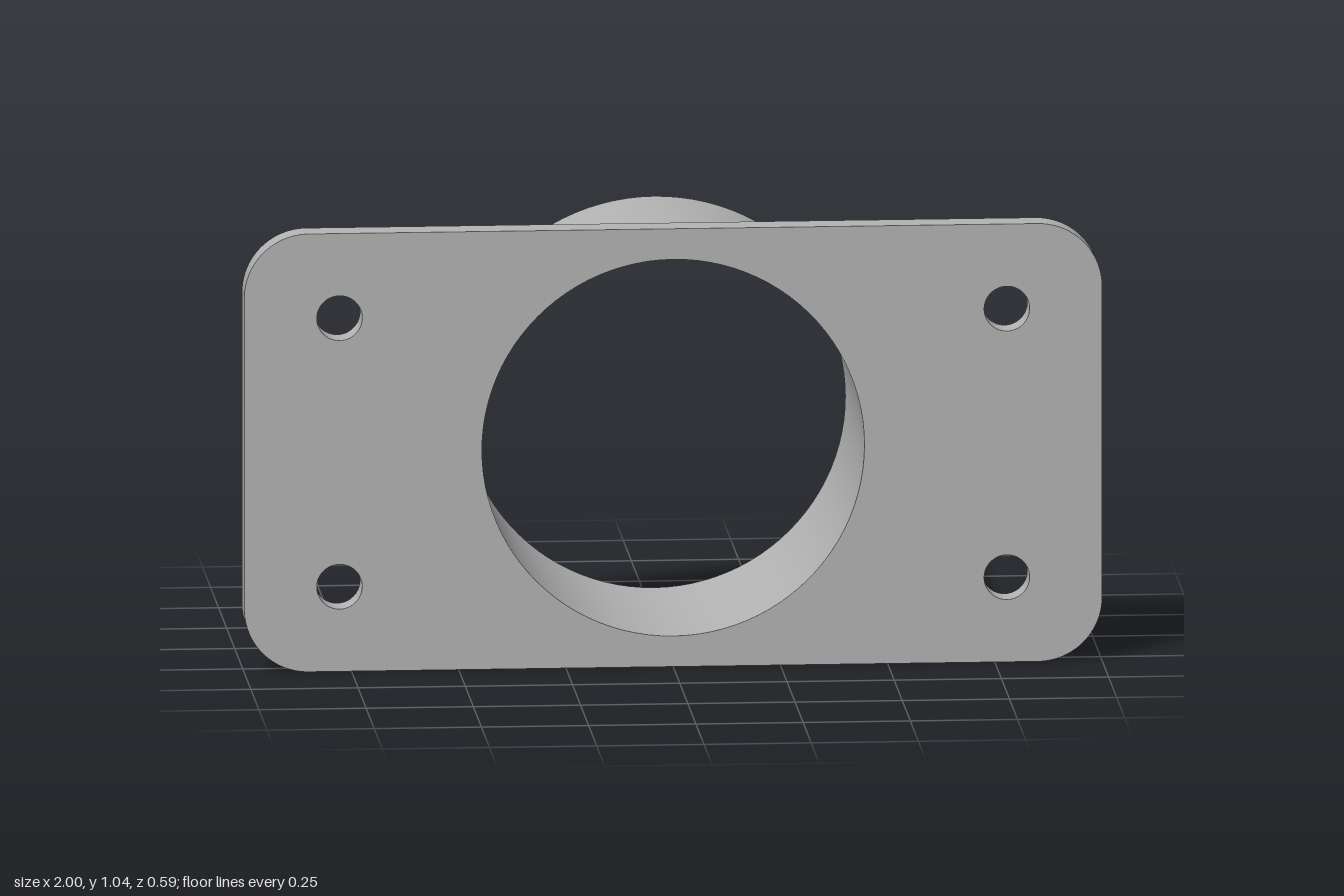
import * as THREE from 'three';
import { toCreasedNormals } from 'three/addons/utils/BufferGeometryUtils.js';

const W = 2, H = 1.037, CORNER = 0.15;
const FRONT = 0.297, PLATE_BACK = 0.223, TUBE_BACK = -0.297;
const BORE = 0.446, OUTER = 0.481;
const BOLT_X = 0.778, BOLT_Y = 0.318, BOLT_R = 0.053;

function circle(x, y, r) {
  return new THREE.Path().absarc(x, y, r, 0, Math.PI * 2, true);
}

export function createModel() {
  const model = new THREE.Group();
  model.name = 'flangedSleeve';
  const grey = new THREE.MeshStandardMaterial({ color: 0xb4b4b4 });
  grey.name = 'grey';

  // Rounded rectangular plate with the central bore and four bolt holes
  const shape = new THREE.Shape();
  const cx = W / 2 - CORNER, cy = H / 2 - CORNER;
  [[cx, cy], [-cx, cy], [-cx, -cy], [cx, -cy]].forEach(([x, y], i) =>
    shape.absarc(x, y, CORNER, i * Math.PI / 2, (i + 1) * Math.PI / 2, false));
  shape.closePath();
  shape.holes.push(circle(0, 0, BORE));
  for (const sx of [-1, 1])
    for (const sy of [-1, 1]) shape.holes.push(circle(sx * BOLT_X, sy * BOLT_Y, BOLT_R));
  const plateGeometry = new THREE.ExtrudeGeometry(shape, {
    depth: FRONT - PLATE_BACK, bevelEnabled: false, curveSegments: 48,
  });
  const plate = new THREE.Mesh(toCreasedNormals(plateGeometry, 0.5), grey);
  plate.name = 'mountingPlate';
  plate.position.set(0, H / 2, PLATE_BACK);
  model.add(plate);

  // Tube behind the plate: inner wall, back rim, outer wall
  const profile = [
    [BORE, PLATE_BACK], [BORE, TUBE_BACK], [OUTER, TUBE_BACK], [OUTER, PLATE_BACK],
  ].map(([r, z]) => new THREE.Vector2(r, z));
  const tubeGeometry = new THREE.LatheGeometry(profile, 96).rotateX(Math.PI / 2);
  const tube = new THREE.Mesh(toCreasedNormals(tubeGeometry, 0.5), grey);
  tube.name = 'sleeveTube';
  tube.position.y = H / 2;
  model.add(tube);

  return model;
}
